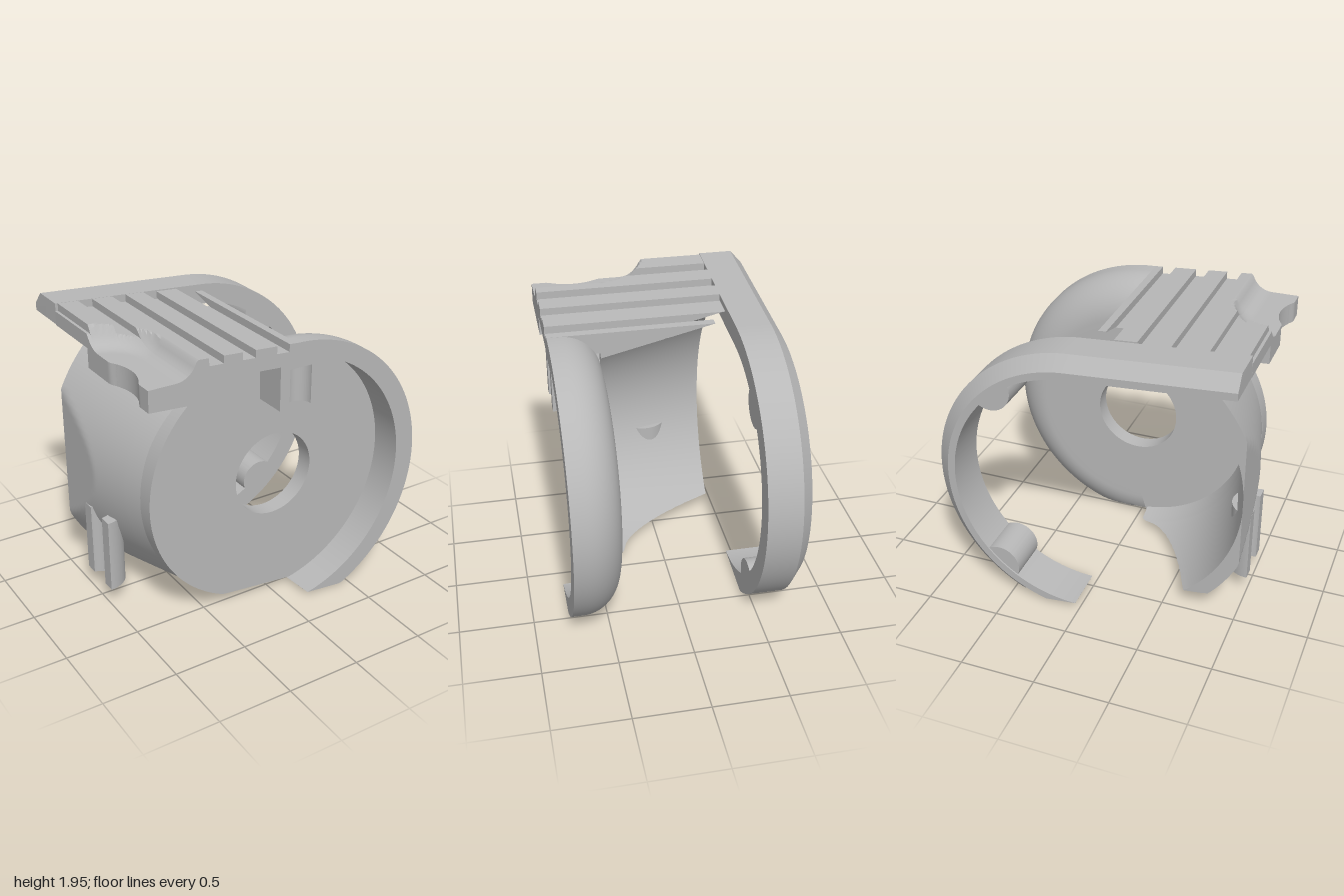
import * as THREE from 'three';
import { toCreasedNormals } from 'three/addons/utils/BufferGeometryUtils.js';

const CX = 0.013, CY = 0.887, R = 0.987;
const RAD = Math.PI / 180;
const TILT = 86.1 * RAD; // direction the sloping top faces
const DISC_Z = 0.54; // recessed face of the front disc
const floorY = x => 0.042 - 0.1 * x; // sloping cut along the underside
const topY = x => 1.876 - 0.068 * x;
const coneR = z => 0.81 + (0.42 - z) * 0.236; // inside of the flared wall

const range = (a, b, n) => Array.from({ length: n + 1 }, (_, i) => a + (b - a) * i / n);

// Pull a point back toward the centre when it lies below the underside cut
function clip(x, y) {
  if (y < floorY(x)) {
    const dx = x - CX, dy = y - CY;
    const k = (floorY(CX) - CY) / (dy + 0.1 * dx);
    return [CX + dx * k, CY + dy * k];
  }
  return [x, y];
}

// Skin a row of closed cross-sections; flat2d gives the outline used for the end caps
function loft(sections, flat2d) {
  const pos = [], idx = [], n = sections[0].length;
  sections.forEach(s => s.forEach(p => pos.push(...p)));
  for (let i = 0; i < sections.length - 1; i++) {
    for (let j = 0; j < n; j++) {
      const a = i * n + j, b = i * n + (j + 1) % n;
      idx.push(a, b, a + n, b, b + n, a + n);
    }
  }
  [0, sections.length - 1].forEach(i => {
    const outline = sections[i].map((p, j) => new THREE.Vector2(...flat2d(p, j)));
    THREE.ShapeUtils.triangulateShape(outline, []).forEach(t => {
      const f = t.map(k => i * n + k);
      idx.push(...(i ? f.reverse() : f));
    });
  });
  const g = new THREE.BufferGeometry();
  g.setAttribute('position', new THREE.Float32BufferAttribute(pos, 3));
  g.setIndex(idx);
  return toCreasedNormals(g, 0.5);
}

function extrude(shape, z, depth) {
  const g = new THREE.ExtrudeGeometry(shape, { depth, bevelEnabled: false, curveSegments: 48 });
  return toCreasedNormals(g.translate(0, 0, z), 0.5);
}

export function createModel() {
  const group = new THREE.Group();
  const grey = new THREE.MeshStandardMaterial({ color: 0xb8b8b8, side: THREE.DoubleSide });
  grey.name = 'plain grey';
  const add = (name, geometry) => {
    const m = new THREE.Mesh(geometry, grey);
    m.name = name;
    group.add(m);
    return m;
  };

  // Front disc with its centre hole; the rim carries the right half outward
  const disc = new THREE.Shape(range(0, 357, 119).map(deg => {
    const a = deg * RAD, r = Math.cos(a) < -0.03 ? 0.88 : 0.7;
    return new THREE.Vector2(...clip(-0.02 + r * Math.cos(a), CY + r * Math.sin(a)));
  }));
  disc.holes.push(new THREE.Path().absarc(0.015, CY, 0.29, 0, Math.PI * 2, true));
  add('frontDisc', extrude(disc, 0.42, DISC_Z - 0.42));

  // Channelled block below the top plate, level with the rim
  const channel = new THREE.Shape();
  channel.moveTo(-0.1, 0.5).lineTo(-0.1, 0.76).lineTo(-0.03, 0.76);
  channel.absarc(0.05, 0.76, 0.08, Math.PI, Math.PI * 2, false);
  channel.lineTo(0.2, 0.76).lineTo(0.2, 0.5);
  const block = add('channelBlock', extrude(channel, 0, 0.26));
  block.rotation.x = Math.PI / 2;
  block.position.y = 1.71;
  add('channelTop', new THREE.BoxGeometry(0.3, 0.06, 0.26)).position.set(0.05, 1.74, 0.63);

  // Rounded rim around the right of the disc
  const rimSections = range(-95, 90, 148).map(deg => {
    const a = deg * RAD, inner = 0.88 - 0.033 * Math.cos(a);
    const at = r => [CX + r * Math.cos(a), CY + r * Math.sin(a)];
    const [ix, iy] = at(inner);
    const front = iy < floorY(ix) ? DISC_Z : 0.76;
    const prof = [[0.65, 0.42]];
    range(0, 90, 20).forEach(f => prof.push([0.72 + 0.267 * Math.sin(f * RAD), 0.68 - 0.26 * Math.cos(f * RAD)]));
    prof.push([R, 0.76], [inner, 0.76], [inner, DISC_Z], [0.65, DISC_Z]);
    return prof.map(([r, z]) => [...clip(...at(r)), Math.min(z, front)]);
  });
  add('frontRim', loft(rimSections, p => [Math.hypot(p[0] - CX, p[1] - CY), p[2]]));

  // Flared wall on the left, trimmed by the side plane, the top plate and the underside
  const wallSections = range(-0.45, DISC_Z, 42).map(z => {
    const ri = coneR(z), ro = ri + 0.1;
    let end = 264;
    for (let d = 200; d < 264; d += 0.25) {
      const x = CX + ri * Math.cos(d * RAD);
      if (CY + ri * Math.sin(d * RAD) < floorY(x)) { end = d; break; }
    }
    const angles = range(110, end, 64).map(d => d * RAD);
    const arc = radius => angles.map(a => {
      let r = radius;
      const c = Math.cos(a), s = Math.sin(a);
      if (c < 0) r = Math.min(r, -(1 + CX) / c);
      if (s > 0) r = Math.min(r, (1.83 - CY) / s);
      return [...clip(CX + r * c, CY + r * s), z];
    });
    return [...arc(ro), ...arc(ri).reverse()];
  });
  add('flaredWall', loft(wallSections, p => [p[0], p[1]]));

  // Dished hollow and curved bite at the outer edge of the plate
  const scoop = (x, z) => {
    const d = Math.hypot(x + 1.05, Math.min(0, z - 0.36));
    const t = Math.max(0, (d - 0.23) / 0.14);
    return t > 0.9 ? 1.889 + 0.289 * (t - 0.9) : 1.81 + 0.14 * (1 - Math.sqrt(1 - t * t));
  };
  const edgeX = z => {
    const h = 0.32 * 0.32 - (z - 0.47) ** 2;
    return h > 0 ? Math.max(-1, -1.265 + Math.sqrt(h)) : -1;
  };

  // Grooved top plate in strips: left, right, grooved, back end
  const strips = [
    [-1, -0.98, 1, -0.45], [-0.98, -0.84, 0, -0.45], [-0.84, -0.74, 1, -0.45], [-0.74, -0.6, 0, -0.45],
    [-0.6, -0.53, 1, -0.45], [-0.53, -0.5, 1, -0.45], [-0.5, -0.37, 0, -0.45], [-0.37, -0.28, 1, -0.42],
    [-0.28, -0.13, 0, -0.43], [-0.13, -0.04, 1, -0.16], [-0.04, CX, 0, -0.33],
  ];
  strips.forEach(([x0, x1, groove, z0]) => {
    const zs = [...range(z0, 0, 20), ...range(0.0001, 0.42, 24), ...range(0.4201, 0.76, 20)];
    const sections = zs.map(z => {
      const xs = range(x0, x1, 10).map(x => Math.max(x, edgeX(z)));
      const tops = xs.map(x => Math.min(topY(x) - groove * 0.05, scoop(x, z)));
      const under = xs.map((x, i) => {
        let y = z > 0 ? 1.6 - 0.07 * x : 1.8;
        if (z <= 0.42) y = Math.max(y, CY + Math.sqrt(Math.max(0, coneR(z) ** 2 - (x - CX) ** 2)));
        else if (x0 >= -0.531) y = 1.735 - 0.068 * x;
        return Math.min(y, tops[i]);
      });
      return [...xs.map((x, i) => [x, tops[i], z]), ...xs.map((x, i) => [x, under[i], z]).reverse()];
    });
    add(groove ? 'plateGroove' : 'plateRib', loft(sections, p => [p[0], p[1]]));
  });

  // Back ring: arc round the right side running into the straight top bar
  const ringProfile = [[0, -0.45], [0, -0.68], [0.09, -0.76], [0.14, -0.76], [0.14, -0.45]];
  const ringSections = range(-89 * RAD, TILT, 90).map(a => ringProfile.map(([inset, z]) => {
    const r = R - inset;
    return [...clip(CX + r * Math.cos(a), CY + r * Math.sin(a)), z];
  }));
  range(0.05, 1.08, 4).forEach(t => ringSections.push(ringProfile.map(([inset, z]) => [
    Math.max(-1, CX + (R - inset) * Math.cos(TILT) - t * Math.sin(TILT)),
    CY + (R - inset) * Math.sin(TILT) + t * Math.cos(TILT), z,
  ])));
  add('backRing', loft(ringSections, (p, j) => ringProfile[j]));

  // Screw bosses on the inside of the ring
  [50, -50].forEach(deg => {
    const a = deg * RAD;
    const s = new THREE.Shape().absarc(0, 0, 0.14, Math.PI / 2, Math.PI * 1.5, false);
    const m = add('screwBoss', extrude(s, -0.75, 0.3));
    m.position.set(CX + 0.88 * Math.cos(a), CY + 0.88 * Math.sin(a), 0);
    m.rotation.z = a;
  });

  // Half tube standing against the flared wall
  const half = new THREE.Shape();
  half.absarc(0, 0, 0.17, -Math.PI / 2, Math.PI / 2, false);
  half.absarc(0, 0, 0.08, Math.PI / 2, -Math.PI / 2, true);
  const tube = add('sideTube', extrude(half, 0, 0.51));
  tube.rotation.x = -Math.PI / 2;
  tube.position.set(-1, 0.12, -0.02);

  return group;
}
